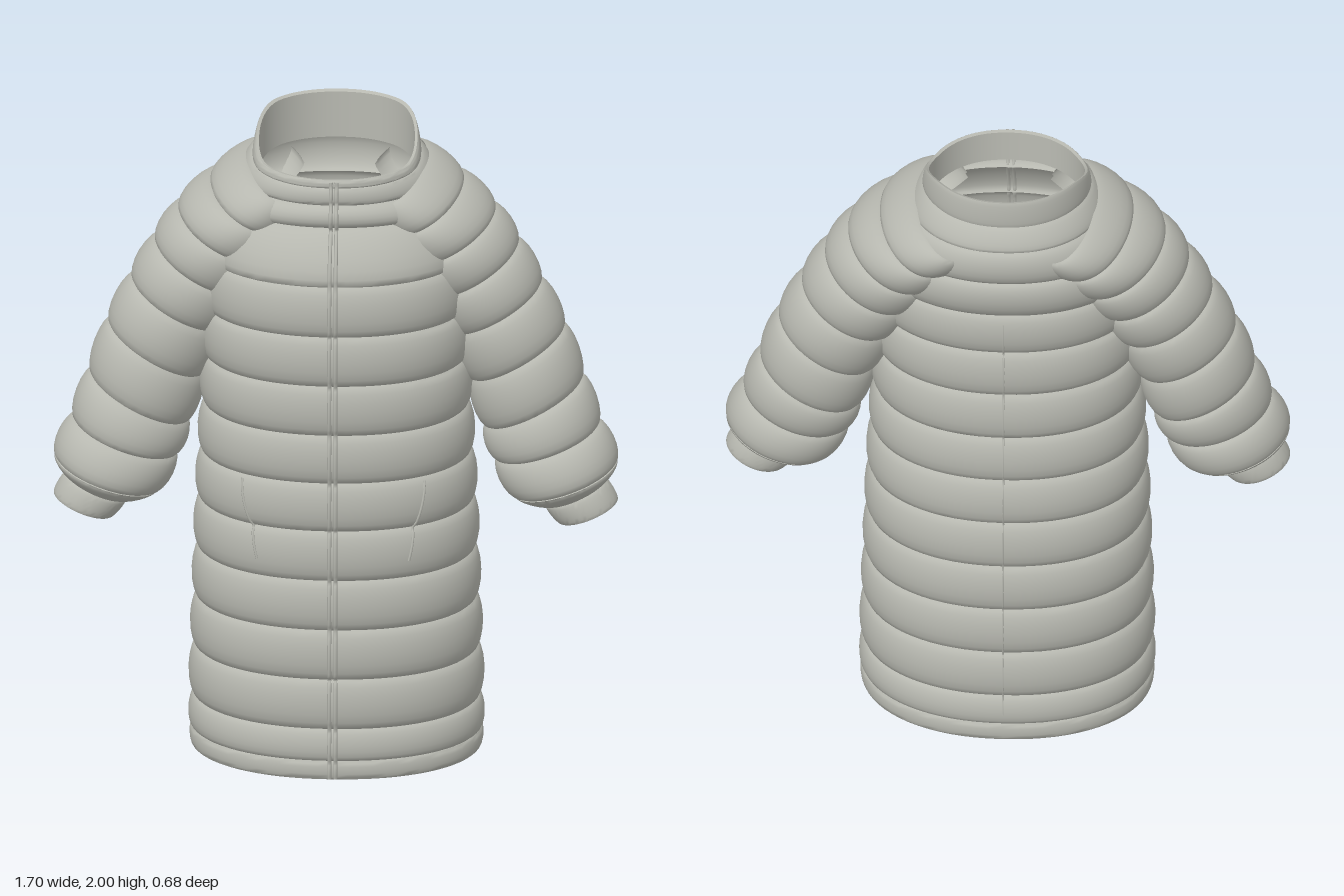
import * as THREE from 'three';
import { toCreasedNormals } from 'three/addons/utils/BufferGeometryUtils.js';

const lerp = THREE.MathUtils.lerp;
const STEPS = 8;   // rings per quilted baffle
const AROUND = 72; // points per ring

// Body seams: [yFront, yBack, halfWidth, zFront, zBack, puff of the baffle above]
const BODY = [
  [0.05, 0.05, 0.420, 0.310, -0.310, 0],
  [0.00, 0.00, 0.435, 0.325, -0.325, 0.008],
  [0.06, 0.06, 0.435, 0.325, -0.325, 0.016],
  [0.16, 0.16, 0.426, 0.316, -0.316, 0.022],
  [0.32, 0.32, 0.422, 0.315, -0.312, 0.022],
  [0.48, 0.48, 0.417, 0.315, -0.308, 0.022],
  [0.64, 0.64, 0.412, 0.314, -0.304, 0.022],
  [0.80, 0.80, 0.407, 0.313, -0.298, 0.022],
  [0.955, 0.955, 0.400, 0.312, -0.288, 0.022],
  [1.11, 1.11, 0.392, 0.312, -0.280, 0.022],
  [1.27, 1.27, 0.390, 0.314, -0.275, 0.022],
  [1.43, 1.43, 0.390, 0.315, -0.275, 0.022],
  [1.59, 1.58, 0.385, 0.310, -0.285, 0.028],
  [1.75, 1.72, 0.340, 0.225, -0.312, 0.024],
  [1.82, 1.84, 0.290, 0.220, -0.318, 0.010],
  [1.875, 1.91, 0.253, 0.218, -0.282, 0.004],
  [1.90, 2.00, 0.243, 0.216, -0.280, 0],
  [1.898, 1.995, 0.235, 0.204, -0.268, 0],
  [1.80, 1.85, 0.235, 0.198, -0.265, 0],
];
const FIRST = 1, LAST = 16; // outer rows, hem to collar edge

// Sleeve seams: [outerX, outerY, innerX, innerY, halfDepth, zCentre, puff of the baffle below]
const SLEEVE = [
  [0.27, 1.870, 0.08, 1.76, 0.250, -0.07, 0.022],
  [0.38, 1.795, 0.15, 1.67, 0.240, -0.05, 0.024],
  [0.475, 1.710, 0.21, 1.57, 0.215, -0.035, 0.022],
  [0.545, 1.610, 0.28, 1.46, 0.188, -0.025, 0.022],
  [0.615, 1.490, 0.345, 1.34, 0.170, -0.015, 0.022],
  [0.685, 1.350, 0.405, 1.19, 0.160, -0.005, 0.022],
  [0.740, 1.190, 0.450, 1.04, 0.158, 0.005, 0.022],
  [0.790, 1.050, 0.485, 0.94, 0.158, 0.025, 0.022],
  [0.845, 0.935, 0.535, 0.83, 0.168, 0.040, 0.014],
  [0.812, 0.880, 0.630, 0.80, 0.095, 0.055, 0],
];
const CUFF = [
  [0.812, 0.880, 0.630, 0.80, 0.095, 0.055, 0.006],
  [0.850, 0.815, 0.672, 0.745, 0.096, 0.058, 0],
  [0.842, 0.812, 0.680, 0.748, 0.088, 0.058, 0],
  [0.800, 0.880, 0.642, 0.81, 0.085, 0.055, 0],
];

// Interpolated row at fractional index v, with the pillow bulge as last value
function rowAt(rows, v) {
  const i = Math.min(Math.floor(v), rows.length - 2), t = v - i;
  const row = rows[i].map((a, k) => lerp(a, rows[i + 1][k], t));
  row[row.length - 1] = rows[i].at(-1) * Math.pow(Math.max(0, 4 * t * (1 - t)), 0.6);
  return row;
}

function bodyPoint(v, angle, lift = 0) {
  const [yf, yb, w, zf, zb, puff] = rowAt(BODY, v);
  const curve = (n) => Math.sign(n) * Math.pow(Math.abs(n), 0.94);
  const grow = puff + lift;
  const x = (w + grow) * curve(Math.cos(angle));
  const z = (zf + zb) / 2 + ((zf - zb) / 2 + grow) * curve(Math.sin(angle));
  const back = THREE.MathUtils.smoothstep(-z, -0.1, 0.2);
  return new THREE.Vector3(x, lerp(yf, yb, back), z);
}

function bodyIndex(y) {
  let i = FIRST;
  while (i < LAST - 1 && BODY[i + 1][0] < y) i++;
  return i + THREE.MathUtils.clamp((y - BODY[i][0]) / (BODY[i + 1][0] - BODY[i][0]), 0, 1);
}

function insideBody(p) {
  if (p.y > 1.86) return false;
  const [, , w, zf, zb] = rowAt(BODY, bodyIndex(p.y));
  return (p.x / w) ** 2 + ((p.z - (zf + zb) / 2) / ((zf - zb) / 2)) ** 2 < 0.8;
}

function sleevePoint(rows, side, v, angle) {
  const [ox, oy, ix, iy, depth, zc, puff] = rowAt(rows, v);
  const u = new THREE.Vector2(ox - ix, oy - iy).multiplyScalar(0.5);
  const c = Math.cos(angle) * (1 + puff / u.length());
  return new THREE.Vector3(
    side * ((ox + ix) / 2 + u.x * c),
    (oy + iy) / 2 + u.y * c,
    zc - side * (depth + puff) * Math.sin(angle));
}

// Skin of rings through all seams; faces wholly hidden by the test are left out
function loft(count, point, hidden) {
  const pos = [], skip = [], index = [];
  const levels = [0];
  for (let i = 0; i < count - 1; i++)
    for (let k = 1; k <= STEPS; k++) levels.push(i + (1 - Math.cos(Math.PI * k / STEPS)) / 2);
  for (const v of levels)
    for (let j = 0; j < AROUND; j++) {
      const p = point(v, j / AROUND * Math.PI * 2);
      pos.push(p.x, p.y, p.z);
      skip.push(hidden ? hidden(p) : false);
    }
  for (let i = 0; i < levels.length - 1; i++)
    for (let j = 0; j < AROUND; j++) {
      const a = i * AROUND + j, b = a + AROUND;
      const c = i * AROUND + (j + 1) % AROUND, d = c + AROUND;
      if (skip[a] && skip[b] && skip[c] && skip[d]) continue;
      index.push(a, b, c, c, b, d);
    }
  const g = new THREE.BufferGeometry();
  g.setAttribute('position', new THREE.Float32BufferAttribute(pos, 3));
  g.setIndex(index);
  return toCreasedNormals(g, 0.75);
}

export function createModel() {
  const coat = new THREE.Group();
  coat.name = 'quiltedCoat';
  const fabric = new THREE.MeshStandardMaterial({ color: 0xb7b8b0, side: THREE.DoubleSide });
  fabric.name = 'grey fabric';

  const add = (name, geometry) => {
    const mesh = new THREE.Mesh(geometry, fabric);
    mesh.name = name;
    coat.add(mesh);
  };

  // Thin cord lying on the body between two heights
  const cord = (name, y0, x0, y1, x1, radius, facing, lift) => {
    const pts = [];
    const n = Math.ceil(Math.abs(y1 - y0) * 60);
    for (let i = 0; i <= n; i++) {
      const v = bodyIndex(lerp(y0, y1, i / n));
      const angle = Math.acos(lerp(x0, x1, i / n) / BODY[Math.floor(v)][2]);
      pts.push(bodyPoint(v, facing * angle, lift));
    }
    add(name, new THREE.TubeGeometry(new THREE.CatmullRomCurve3(pts), n * 2, radius, 6));
  };

  add('bodyAndCollar', loft(BODY.length, bodyPoint));

  for (const [side, label] of [[1, 'left'], [-1, 'right']]) {
    add(label + 'Sleeve', loft(SLEEVE.length, (v, a) => sleevePoint(SLEEVE, side, v, a), insideBody));
    add(label + 'Cuff', loft(CUFF.length, (v, a) => sleevePoint(CUFF, side, v, a)));
    cord(label + 'ZipperTape', 0.005, side * 0.007, 1.895, side * 0.007, 0.006, 1, 0.001);
    cord(label + 'PocketSeam', 0.945, side * 0.265, 0.70, side * 0.21, 0.004, 1, 0);
  }
  // Centre back stitching
  cord('backSeam', 0.1, 0, 1.56, 0, 0.003, -1, -0.001);

  return coat;
}
